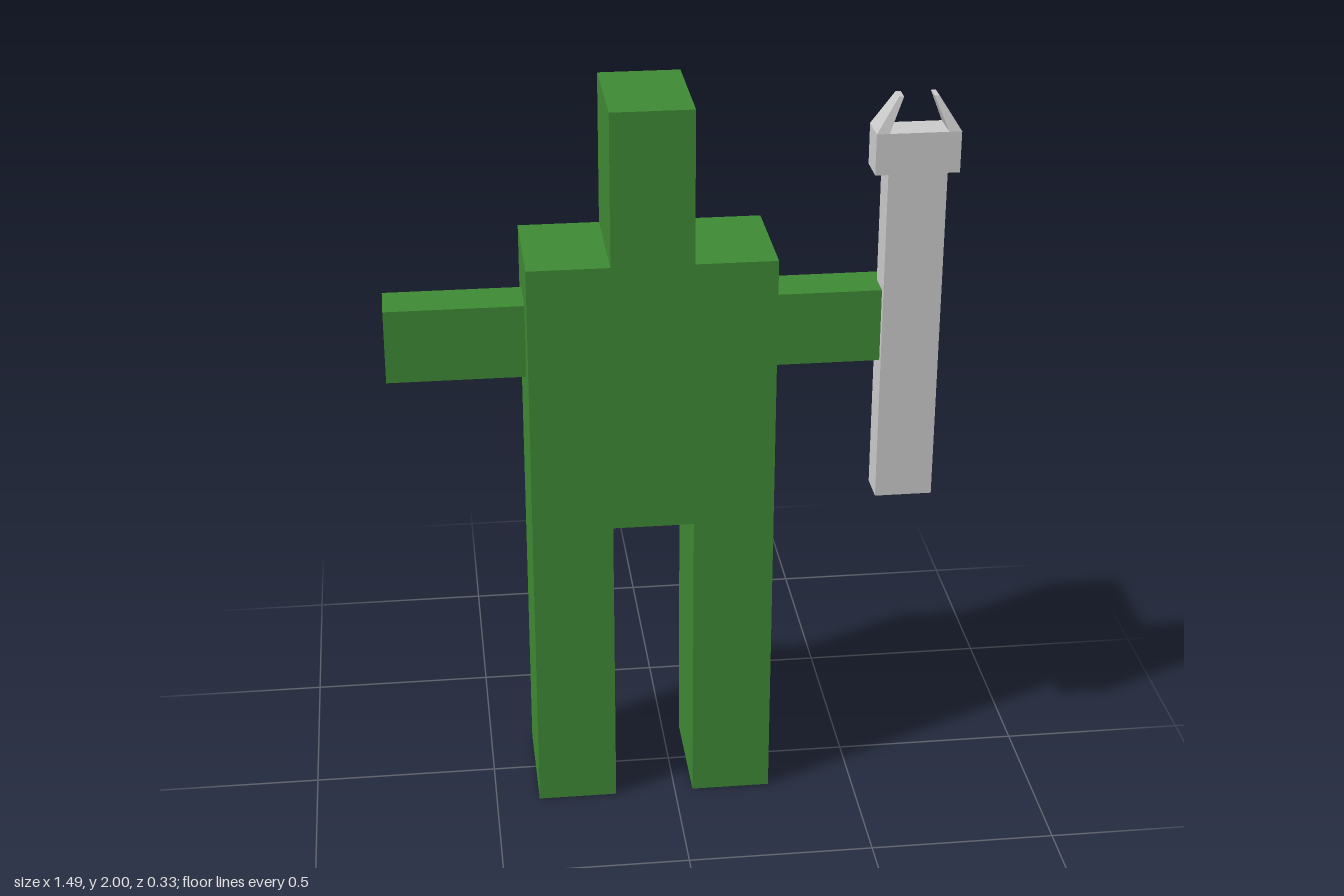
import * as THREE from 'three';

const green = new THREE.MeshStandardMaterial({ color: 0x3f8a35, flatShading: true });
const grey = new THREE.MeshStandardMaterial({ color: 0xcccccc, flatShading: true });

// Box given by its lower and upper corners
function block(name, material, [x0, y0, z0], [x1, y1, z1]) {
  const mesh = new THREE.Mesh(new THREE.BoxGeometry(x1 - x0, y1 - y0, z1 - z0), material);
  mesh.position.set((x0 + x1) / 2, (y0 + y1) / 2, (z0 + z1) / 2);
  mesh.name = name;
  return mesh;
}

// Inward-leaning claw that narrows to its tip; side is -1 or 1
function prong(name, side) {
  const height = 0.09;
  const geometry = new THREE.BoxGeometry(1, height, 1);
  const p = geometry.attributes.position;
  for (let i = 0; i < p.count; i++) {
    const tip = p.getY(i) > 0;
    const outer = p.getX(i) * side > 0;
    const reach = tip ? (outer ? 0.052 : 0.039) : (outer ? 0.11 : 0.077);
    p.setX(i, side * reach);
    p.setZ(i, p.getZ(i) * (tip ? 0.046 : 0.092));
  }
  geometry.computeVertexNormals();
  const mesh = new THREE.Mesh(geometry, grey);
  mesh.position.set(0.631, 1.89 + height / 2, 0.038);
  mesh.name = name;
  return mesh;
}

export function createModel() {
  const model = new THREE.Group();
  model.name = 'figureWithStaff';

  // Legs, torso and head share one flat outline
  const cx = -0.058, half = 0.323, inner = 0.108, depth = 0.326;
  const side = [[inner, 0], [half, 0], [half, 1.59], [inner, 1.59], [inner, 2]];
  const right = side.map(([x, y]) => new THREE.Vector2(cx + x, y));
  const left = side.map(([x, y]) => new THREE.Vector2(cx - x, y)).reverse();
  const crotch = [-inner, inner].map((x) => new THREE.Vector2(cx + x, 0.845));
  const bodyGeometry = new THREE.ExtrudeGeometry(
    new THREE.Shape([...right, ...left, ...crotch]),
    { depth, bevelEnabled: false }
  );
  bodyGeometry.translate(0, 0, -depth / 2);
  const body = new THREE.Mesh(bodyGeometry, green);
  body.name = 'body';
  model.add(body);

  // Outstretched arms
  model.add(block('rightArm', green, [-0.745, 1.255, -0.065], [cx - half, 1.455, 0.065]));
  model.add(block('leftArm', green, [cx + half, 1.255, -0.065], [0.63, 1.455, 0.065]));

  // Staff with a clawed head
  const staff = new THREE.Group();
  staff.name = 'staff';
  staff.add(
    block('staffShaft', grey, [0.555, 0.86, -0.008], [0.709, 1.78, 0.084]),
    block('staffHead', grey, [0.521, 1.78, -0.008], [0.741, 1.89, 0.084]),
    prong('rightProng', -1),
    prong('leftProng', 1)
  );
  model.add(staff);

  return model;
}
